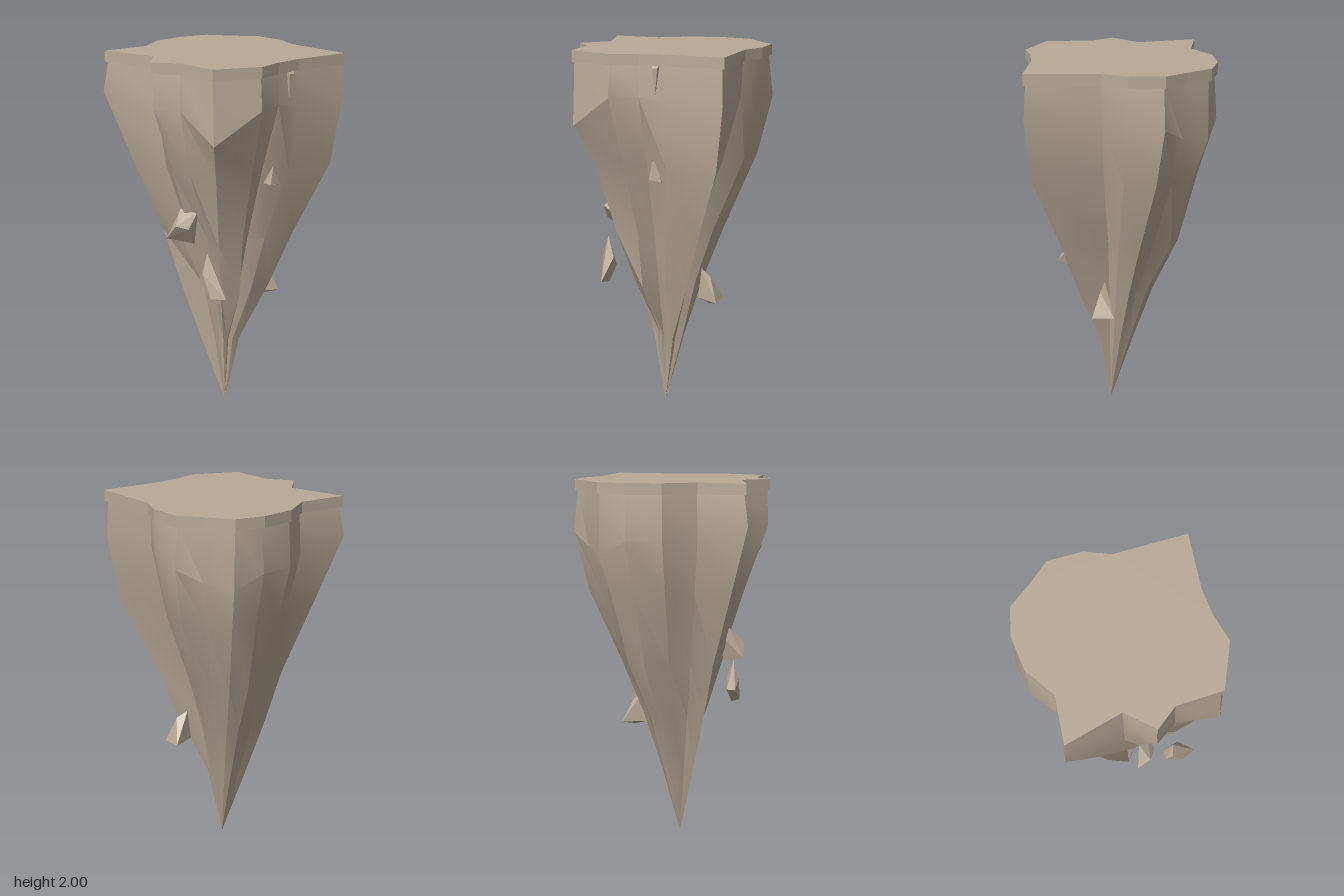
import * as THREE from 'three';
import { toCreasedNormals } from 'three/addons/utils/BufferGeometryUtils.js';
import { ConvexGeometry } from 'three/addons/geometries/ConvexGeometry.js';

// Plateau outline, clockwise from above: x, z
const OUTLINE = [
  [-0.28, -0.49], [-0.09, -0.505], [0.05, -0.46], [0.45, -0.495], [0.45, -0.18], [0.475, -0.03],
  [0.525, 0.12], [0.44, 0.37], [0.19, 0.4], [0.08, 0.5], [-0.07, 0.38], [-0.38, 0.49],
  [-0.375, 0.225], [-0.495, 0.07], [-0.53, -0.12], [-0.505, -0.28], [-0.38, -0.39],
];

// One row per outline point: height of the belly, then the column's width
// at the belly and at each of the lower heights
const LOWER = [1.4, 1.0, 0.7, 0.38];
const COLUMNS = [
  [1.72, 1.02, 0.88, 0.57, 0.36, 0.18], [1.75, 0.98, 0.83, 0.51, 0.32, 0.18],
  [1.75, 0.95, 0.73, 0.39, 0.25, 0.13], [1.75, 0.985, 0.89, 0.58, 0.38, 0.13],
  [1.75, 0.98, 0.87, 0.56, 0.38, 0.12], [1.78, 0.99, 0.7, 0.44, 0.28, 0.08],
  [1.77, 0.99, 0.74, 0.5, 0.42, 0.08], [1.6, 0.985, 0.77, 0.54, 0.33, 0.09],
  [1.75, 1.0, 0.8, 0.39, 0.27, 0.11], [1.75, 0.98, 0.73, 0.47, 0.29, 0.14],
  [1.75, 0.98, 0.85, 0.65, 0.3, 0.11], [1.78, 1.02, 0.78, 0.52, 0.38, 0.21],
  [1.72, 1.0, 0.84, 0.62, 0.42, 0.22], [1.7, 1.01, 0.85, 0.62, 0.4, 0.21],
  [1.7, 1.01, 0.85, 0.67, 0.42, 0.22], [1.62, 0.99, 0.85, 0.64, 0.38, 0.2],
  [1.65, 0.98, 0.85, 0.59, 0.35, 0.19],
];

// Loose rock chips, each the hull of a few points
const CHIPS = {
  frontChip: [[0.04, 1.18, 0.29], [0.125, 1.08, 0.3], [0.095, 0.985, 0.24], [0.02, 1.02, 0.37],
    [0.09, 1.1, 0.36], [0.1, 1.16, 0.22], [0.06, 1.15, 0.22]],
  leftChip: [[0.24, 0.97, 0.26], [0.38, 0.74, 0.24], [0.27, 0.72, 0.24], [0.2, 0.8, 0.23],
    [0.3, 0.73, 0.28], [0.2, 0.8, 0.28], [0.28, 0.86, 0.21], [0.24, 0.86, 0.29]],
  backChip: [[0.06, 0.79, -0.22], [0.08, 0.75, -0.28], [0.0, 0.62, -0.33], [0.12, 0.615, -0.33],
    [0.06, 0.62, -0.2], [0.07, 0.6, -0.27]],
  sideChip: [[0.385, 1.43, -0.07], [0.36, 1.43, -0.09], [0.34, 1.33, -0.04], [0.385, 1.32, -0.12],
    [0.39, 1.33, -0.05], [0.34, 1.31, -0.11]],
  sideSpike: [[0.45, 1.95, -0.1], [0.45, 1.95, -0.14], [0.455, 1.77, -0.115],
    [0.47, 1.93, -0.105], [0.47, 1.93, -0.135]],
};

// Tapering body lofted down the columns, with the axis drifting to the tip
function bodyGeometry() {
  const n = OUTLINE.length;
  const rings = LOWER.length + 3;
  const positions = [];
  const index = [];
  for (let r = 0; r < rings; r++) {
    OUTLINE.forEach(([x, z], i) => {
      const [belly, ...widths] = COLUMNS[i];
      const y = [1.945, belly, ...LOWER, 0][r];
      const s = [0.97, ...widths, 0][r];
      positions.push(0.05 * (1 - y / 2) + x * s, y, z * s);
    });
  }
  for (let r = 0; r < rings - 1; r++) {
    for (let i = 0; i < n; i++) {
      const a = r * n + i, b = r * n + (i + 1) % n;
      index.push(a, b, a + n);
      if (r < rings - 2) index.push(b, b + n, a + n);
    }
  }
  const geometry = new THREE.BufferGeometry();
  geometry.setAttribute('position', new THREE.Float32BufferAttribute(positions, 3));
  geometry.setIndex(index);
  return toCreasedNormals(geometry, 0.4);
}

export function createModel() {
  const group = new THREE.Group();
  group.name = 'floatingRock';
  const stone = new THREE.MeshStandardMaterial({ color: 0xb8aa97 });
  stone.name = 'stone';
  const add = (name, geometry) => {
    const mesh = new THREE.Mesh(geometry, stone);
    mesh.name = name;
    group.add(mesh);
  };

  // Flat plateau slab
  const shape = new THREE.Shape(OUTLINE.map(([x, z]) => new THREE.Vector2(x, -z)));
  const slab = new THREE.ExtrudeGeometry(shape, { depth: 0.06, bevelEnabled: false });
  slab.rotateX(-Math.PI / 2).translate(0, 1.94, 0);
  add('plateau', slab);

  add('rockBody', bodyGeometry());

  for (const [name, points] of Object.entries(CHIPS)) {
    add(name, new ConvexGeometry(points.map((p) => new THREE.Vector3(...p))));
  }
  return group;
}
